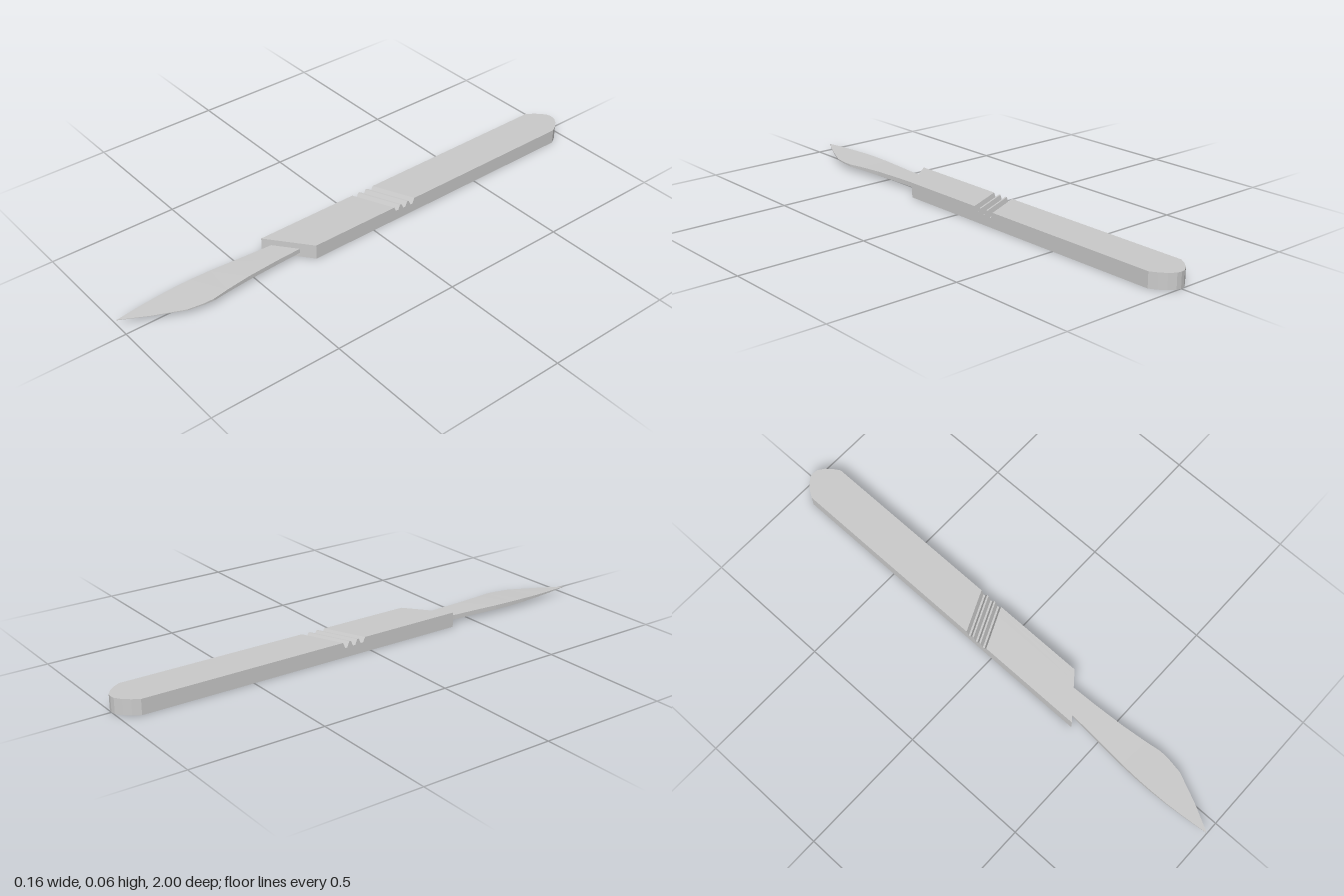
import * as THREE from 'three';

const material = () => new THREE.MeshStandardMaterial({ color: 0xcccccc, flatShading: true });

// Handle: side profile (z, y) swept across x; each end and the grooves follow their own rule
function createHandle() {
  const H = 0.058;
  // [x, z] of the rounded rear end
  const rear = [[-0.079, -0.93], [-0.062, -0.957], [-0.042, -0.98], [-0.018, -0.997], [0, -1],
    [0.018, -0.997], [0.042, -0.98], [0.062, -0.957], [0.078, -0.93]];
  const profile = [[-1, 0], [1, 0], [1, H]];
  for (const z of [-0.075, -0.11, -0.145]) {
    profile.push([z + 0.014, H], [z + 0.004, 0.035], [z - 0.004, 0.035], [z - 0.014, H]);
  }
  profile.push([-1, H]);

  const shape = new THREE.Shape(profile.map(([z, y]) => new THREE.Vector2(z, y)));
  const steps = rear.length - 1;
  const geometry = new THREE.ExtrudeGeometry(shape, { depth: 1, steps, bevelEnabled: false });
  const p = geometry.attributes.position;
  for (let i = 0; i < p.count; i++) {
    const a = p.getX(i);
    const [x, rearZ] = rear[steps - Math.round(p.getZ(i) * steps)];
    let z = a - 0.45 * x; // slanted grooves
    if (a > 0.5) z = 0.328 - 0.8 * x; // slanted front
    if (a < -0.5) z = rearZ;
    p.setXYZ(i, x, p.getY(i), z);
  }
  geometry.computeVertexNormals();
  const mesh = new THREE.Mesh(geometry, material());
  mesh.name = 'handle';
  return mesh;
}

// Blade: four-cornered cross-sections from the root to the tip
function createBlade() {
  const Y = 0.025;
  // [left x, left z, right x, right z, left half thickness, right half thickness]
  const sections = [
    [-0.05, 0.35, 0.03, 0.285, 0.009, 0.009],
    [-0.054, 0.42, 0.034, 0.4, 0.009, 0.009],
    [-0.062, 0.53, 0.042, 0.53, 0.009, 0.008],
    [-0.069, 0.62, 0.053, 0.63, 0.0085, 0.006],
    [-0.072, 0.7, 0.062, 0.69, 0.008, 0.004],
    [-0.072, 0.76, 0.06, 0.73, 0.007, 0.003],
    [-0.07, 0.83, 0.05, 0.79, 0.005, 0.002],
    [-0.065, 0.9, 0.0, 0.9, 0.0035, 0.001],
    [-0.055, 1, -0.053, 0.998, 0.001, 0.001],
  ];
  const positions = [];
  const index = [];
  sections.forEach(([xl, zl, xr, zr, hl, hr], s) => {
    positions.push(xl, Y - hl, zl, xr, Y - hr, zr, xr, Y + hr, zr, xl, Y + hl, zl);
    if (s === 0) return;
    for (let k = 0; k < 4; k++) {
      const a = (s - 1) * 4 + k, b = (s - 1) * 4 + (k + 1) % 4;
      index.push(a, b, b + 4, a, b + 4, a + 4);
    }
  });
  // close root and tip
  const t = (sections.length - 1) * 4;
  index.push(0, 2, 1, 0, 3, 2, t, t + 1, t + 2, t, t + 2, t + 3);
  const indexed = new THREE.BufferGeometry();
  indexed.setAttribute('position', new THREE.Float32BufferAttribute(positions, 3));
  indexed.setIndex(index);
  const geometry = indexed.toNonIndexed();
  geometry.computeVertexNormals();
  const mesh = new THREE.Mesh(geometry, material());
  mesh.name = 'blade';
  return mesh;
}

export function createModel() {
  const group = new THREE.Group();
  group.name = 'scalpel';
  group.add(createHandle(), createBlade());
  return group;
}
